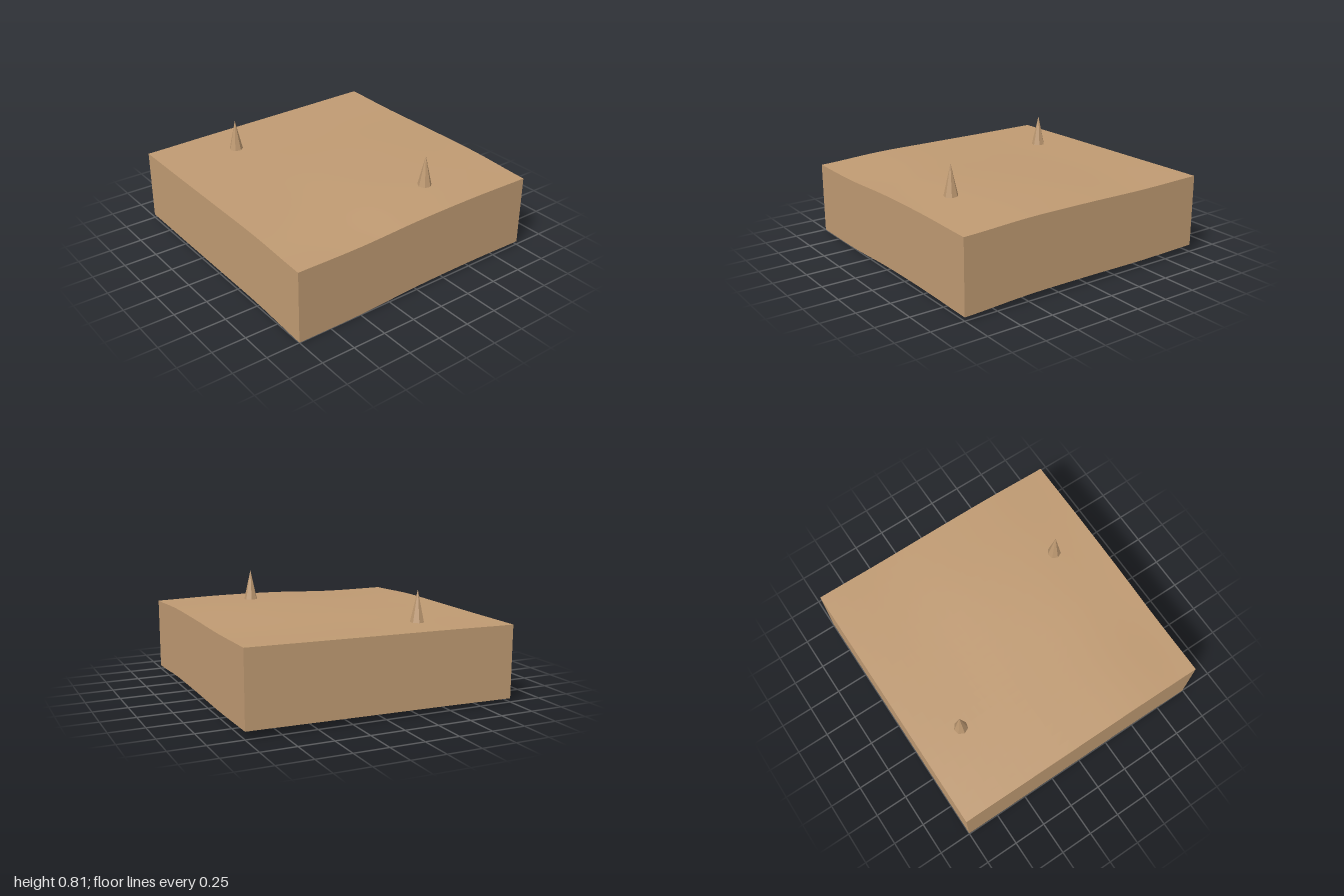
import * as THREE from 'three';

const DEPTH = 0.535; // height of the side walls
const N = 24; // segments per edge

// Coarse ground heights: rows run back to front, columns run from -x to +x
const HEIGHTS = [
  [0.588, 0.580, 0.584, 0.582, 0.560],
  [0.582, 0.578, 0.588, 0.585, 0.567],
  [0.576, 0.572, 0.580, 0.580, 0.560],
  [0.570, 0.567, 0.568, 0.564, 0.537],
  [0.562, 0.560, 0.560, 0.558, 0.535],
];

// Smooth interpolation through five evenly spaced values, t from -1 to 1
function smooth(values, t) {
  const u = (t + 1) * 2;
  const i = Math.min(3, Math.floor(u));
  const f = u - i;
  const at = (k) => values[Math.max(0, Math.min(4, k))];
  const [a, b, c, d] = [at(i - 1), at(i), at(i + 1), at(i + 2)];
  return b + 0.5 * f * (c - a + f * (2 * a - 5 * b + 4 * c - d + f * (3 * (b - c) + d - a)));
}

const ground = (x, z) => smooth(HEIGHTS.map((row) => smooth(row, x)), z);

export function createModel() {
  const model = new THREE.Group();
  model.name = 'terrainTile';
  const sand = new THREE.MeshStandardMaterial({ color: 0xbf9a72, side: THREE.DoubleSide });
  sand.name = 'sand';

  const add = (name, geometry) => {
    const mesh = new THREE.Mesh(geometry, sand);
    mesh.name = name;
    model.add(mesh);
    return mesh;
  };

  // Gently rolling top surface
  const top = new THREE.PlaneGeometry(2, 2, N, N).rotateX(-Math.PI / 2);
  const p = top.attributes.position;
  for (let i = 0; i < p.count; i++) p.setY(i, ground(p.getX(i), p.getZ(i)));
  top.computeVertexNormals();
  add('groundSurface', top);

  // Four side walls whose lower edges follow the ground; the underside is open
  ['frontWall', 'leftWall', 'backWall', 'rightWall'].forEach((name, k) => {
    const wall = new THREE.PlaneGeometry(2, DEPTH, N, 1);
    wall.translate(0, -DEPTH / 2, 1).rotateY((k * Math.PI) / 2);
    const w = wall.attributes.position;
    for (let i = 0; i < w.count; i++) {
      const x = THREE.MathUtils.clamp(w.getX(i), -1, 1);
      const z = THREE.MathUtils.clamp(w.getZ(i), -1, 1);
      w.setY(i, w.getY(i) + ground(x, z));
    }
    add(name, wall);
  });

  // Seven-sided spikes standing on the ground
  for (const [name, x, z] of [['leftSpike', 0.665, -0.335], ['rightSpike', -0.668, 0.418]]) {
    const cone = new THREE.ConeGeometry(0.052, 0.232, 7).toNonIndexed();
    cone.computeVertexNormals(); // faceted sides
    add(name, cone).position.set(x, ground(x, z) + 0.115, z);
  }

  return model;
}
